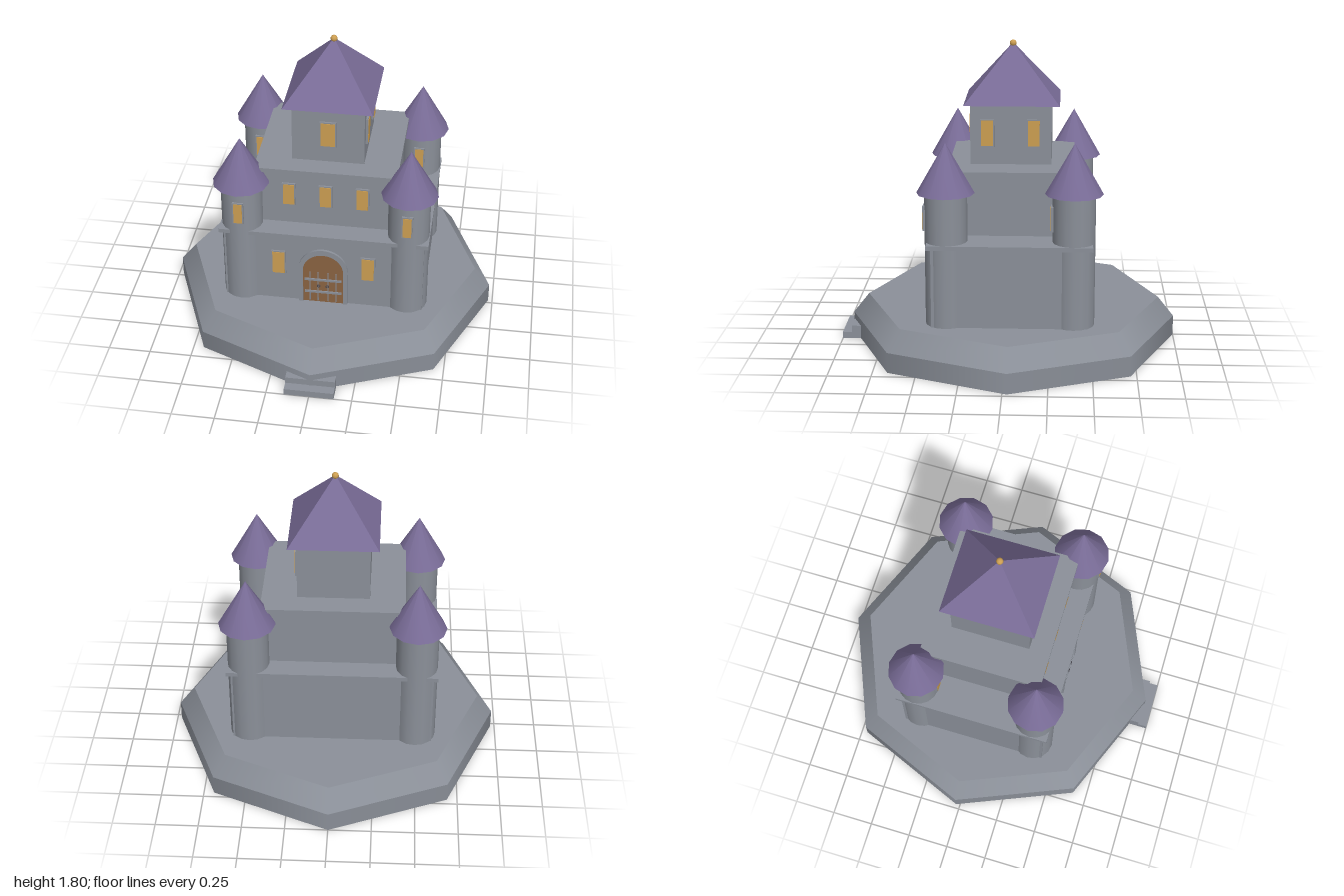
import * as THREE from 'three';

const mat = (name, color) => {
  const m = new THREE.MeshStandardMaterial({ color });
  m.name = name;
  return m;
};

export function createModel() {
  const stone = mat('stone', 0x8b9099);
  const purple = mat('roof purple', 0x796c97);
  const gold = mat('window gold', 0xcd9f52);
  const wood = mat('door wood', 0x8a6342);
  const iron = mat('dark iron', 0x4c4a52);

  const castle = new THREE.Group();
  castle.name = 'castle';
  const cz = -0.025; // shared centre of the building in z

  const add = (parent, name, geometry, material, x, y, z) => {
    const mesh = new THREE.Mesh(geometry, material);
    mesh.name = name;
    mesh.position.set(x, y, z);
    parent.add(mesh);
    return mesh;
  };
  // Block given by its size and the height of its underside
  const block = (name, w, y0, y1, d, z = cz) =>
    add(castle, name, new THREE.BoxGeometry(w, y1 - y0, d), stone, 0, (y0 + y1) / 2, z);

  // Octagonal plinth with a sloping upper rim
  add(castle, 'plinth', new THREE.CylinderGeometry(0.975, 0.975, 0.12, 8), stone, 0, 0.06, cz);
  add(castle, 'plinthSlope', new THREE.CylinderGeometry(0.88, 0.975, 0.12, 8), stone, 0, 0.18, cz);

  // Entrance steps
  block('lowerStep', 0.29, 0, 0.04, 0.12, 0.94);
  block('upperStep', 0.29, 0.04, 0.08, 0.08, 0.905);

  // Stacked storeys and ledges
  block('lowerStorey', 1.18, 0.24, 0.705, 0.89);
  block('lowerLedge', 1.23, 0.705, 0.73, 0.94);
  block('upperStorey', 0.78, 0.73, 1.085, 0.68);
  block('upperLedge', 0.83, 1.085, 1.11, 0.73);
  block('keep', 0.42, 1.11, 1.46, 0.47, -0.02);

  // Four-sided keep roof with flat faces
  const pyramid = new THREE.ConeGeometry(Math.SQRT2, 0.33, 4).rotateY(Math.PI / 4)
    .scale(0.26, 1, 0.277).toNonIndexed();
  pyramid.computeVertexNormals();
  add(castle, 'keepRoof', pyramid, purple, 0, 1.625, cz);
  add(castle, 'finial', new THREE.SphereGeometry(0.02, 12, 8), gold, 0, 1.785, cz);

  // Window: stone frame with a thin glowing pane, facing +z before turning
  const addWindow = (name, x, y, z, w, h, turn = 0) => {
    const g = new THREE.Group();
    g.name = name;
    add(g, 'frame', new THREE.BoxGeometry(w + 0.014, h + 0.014, 0.02), stone, 0, 0, 0);
    add(g, 'pane', new THREE.BoxGeometry(w, h, 0.006), gold, 0, 0, 0.01);
    g.position.set(x, y, z);
    g.rotation.y = turn;
    castle.add(g);
  };

  // Corner towers, each with a front window
  for (const x of [-0.49, 0.49]) {
    for (const z of [cz + 0.3625, cz - 0.3625]) {
      add(castle, 'tower', new THREE.CylinderGeometry(0.122, 0.122, 0.775, 16), stone, x, 0.6275, z);
      add(castle, 'towerRoof', new THREE.ConeGeometry(0.165, 0.29, 12), purple, x, 1.155, z);
      addWindow('towerWindow', x, 0.865, z + 0.12, 0.05, 0.13);
    }
  }

  // Wall windows
  for (const x of [-0.265, 0.265]) addWindow('lowerWindow', x, 0.51, 0.42, 0.072, 0.15);
  for (const x of [-0.215, 0, 0.215]) addWindow('upperWindow', x, 0.932, 0.316, 0.065, 0.135);
  addWindow('keepFrontWindow', 0, 1.295, 0.216, 0.082, 0.15);
  for (const z of [0.117, -0.152]) addWindow('keepSideWindow', 0.213, 1.295, z, 0.068, 0.15, Math.PI / 2);

  // Round-headed door in a stone surround
  const arch = (Kind, r, spring) => {
    const s = new Kind();
    s.moveTo(-r, 0.24);
    s.lineTo(r, 0.24);
    s.lineTo(r, spring);
    s.absarc(0, spring, r, 0, Math.PI, false);
    s.lineTo(-r, 0.24);
    return s;
  };
  const extrude = (shape, depth) =>
    new THREE.ExtrudeGeometry(shape, { depth, bevelEnabled: false, curveSegments: 20 });
  const surround = arch(THREE.Shape, 0.145, 0.48);
  surround.holes.push(arch(THREE.Path, 0.12, 0.47));
  add(castle, 'doorSurround', extrude(surround, 0.03), stone, 0, 0, 0.405);
  add(castle, 'door', extrude(arch(THREE.Shape, 0.121, 0.47), 0.022), wood, 0, 0, 0.405);

  // Door straps, bars and ring handles
  for (const y of [0.315, 0.405])
    add(castle, 'doorStrap', new THREE.BoxGeometry(0.22, 0.014, 0.008), stone, 0, y, 0.43);
  for (const x of [-0.078, -0.03, 0.03, 0.078])
    add(castle, 'doorBar', new THREE.BoxGeometry(0.006, 0.21, 0.006), stone, x, 0.355, 0.429);
  for (const x of [-0.026, 0.026])
    add(castle, 'doorHandle', new THREE.TorusGeometry(0.008, 0.003, 6, 12), iron, x, 0.363, 0.435);

  return castle;
}
